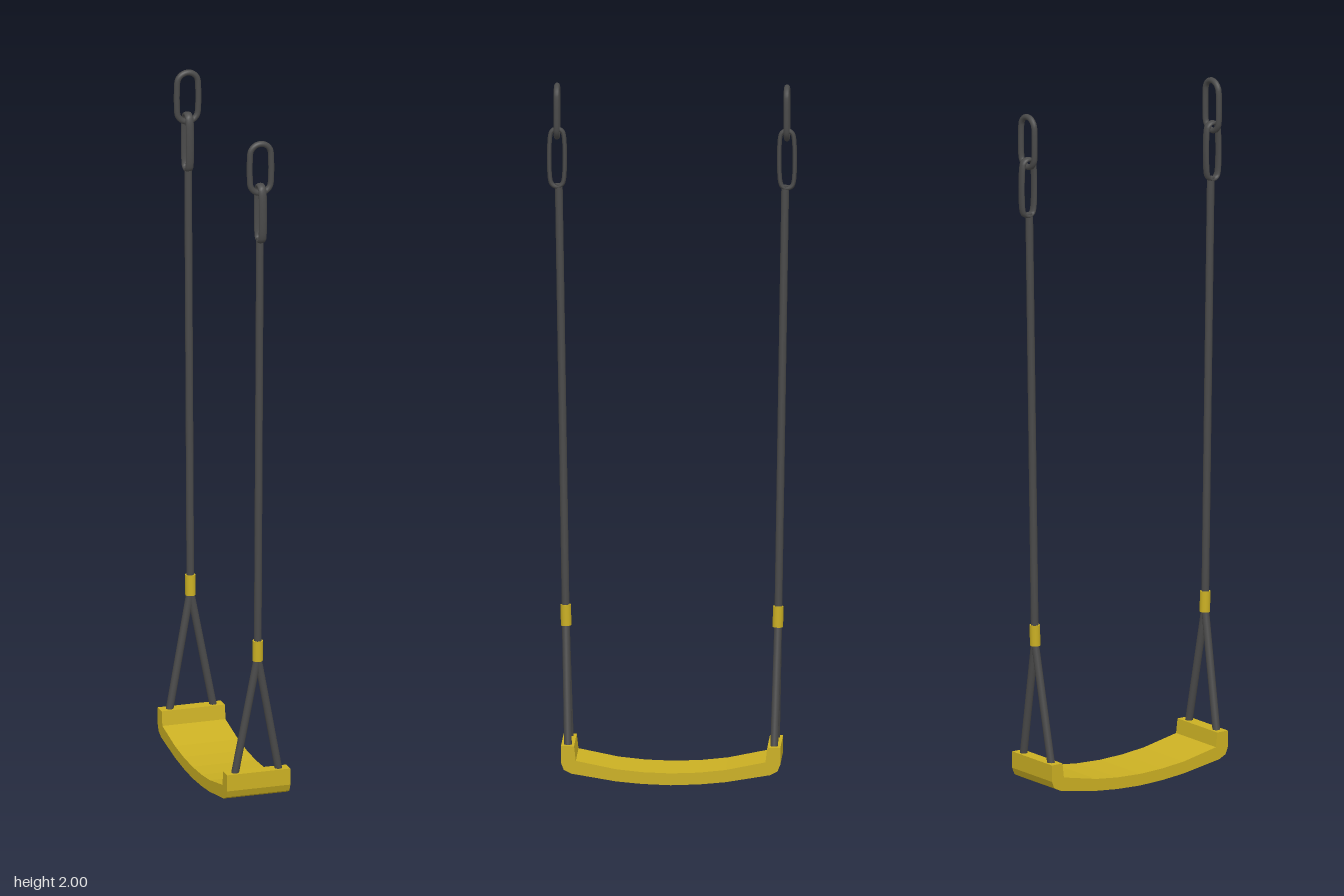
import * as THREE from 'three';

const yellow = new THREE.MeshStandardMaterial({ color: 0xcbb023 });
const grey = new THREE.MeshStandardMaterial({ color: 0x4a4a4a });
const V = (x, y, z) => new THREE.Vector3(x, y, z);

function add(parent, name, geometry, material) {
  const mesh = new THREE.Mesh(geometry, material);
  mesh.name = name;
  parent.add(mesh);
  return mesh;
}

// Round bar running between two points
function rod(parent, name, a, b, radius, material) {
  const dir = b.clone().sub(a);
  const mesh = add(parent, name, new THREE.CylinderGeometry(radius, radius, dir.length(), 12), material);
  mesh.position.copy(a).add(b).multiplyScalar(0.5);
  mesh.quaternion.setFromUnitVectors(V(0, 1, 0), dir.normalize());
  return mesh;
}

// Closed stadium-shaped loop in the xy plane, measured along its bar centre
function loopGeometry(halfWidth, halfHeight, radius, steps) {
  const points = [];
  const straight = halfHeight - halfWidth;
  for (const end of [0, 1]) {
    for (let i = 0; i <= steps; i++) {
      const a = Math.PI * (end + i / steps);
      points.push(V(Math.cos(a) * halfWidth, Math.sin(a) * halfWidth + (end ? -straight : straight), 0));
    }
  }
  return new THREE.TubeGeometry(new THREE.CatmullRomCurve3(points, true), 64, radius, 10, true);
}

// Curved seat: half a profile in (z, y), mirrored and extruded across the width
function seatGeometry() {
  const width = 0.188;
  const upper = [[0, 0.034], [0.08, 0.037], [0.155, 0.045], [0.268, 0.068], [0.273, 0.11]];
  const lower = [[0.31, 0.11], [0.31, 0.062], [0.302, 0.042], [0.28, 0.031], [0.155, 0.01], [0.08, 0.003], [0, 0]];
  const half = [...upper, ...lower];
  const mirrored = half.slice(1, -1).reverse().map(([z, y]) => [-z, y]);
  const shape = new THREE.Shape([...half, ...mirrored].map(([z, y]) => new THREE.Vector2(z, y)));
  const geometry = new THREE.ExtrudeGeometry(shape, { depth: width, bevelEnabled: false });
  geometry.translate(0, 0, -width / 2);
  return geometry.rotateY(Math.PI / 2);
}

// Rope, strap and hanging hardware at one end of the seat
function suspension(s) {
  const group = new THREE.Group();
  group.name = s > 0 ? 'frontSuspension' : 'backSuspension';
  const fork = V(0, 0.45, s * 0.3);

  for (const x of [-1, 1]) {
    rod(group, 'forkRope', V(x * 0.068, 0.09, s * 0.291), fork, 0.011, grey);
  }
  rod(group, 'mainRope', fork, V(0, 1.71, s * 0.32), 0.011, grey);
  rod(group, 'ropeCollar', V(0, 0.44, s * 0.299), V(0, 0.5, s * 0.3005), 0.015, yellow);

  // Flattened lower link, turned side-on to the ring above
  const link = add(group, 'connectingLink', loopGeometry(0.019, 0.083, 0.0065, 4), grey);
  link.scale.z = 1.85;
  link.rotation.y = Math.PI / 2;
  link.position.set(0, 1.785, s * 0.325);

  const ring = add(group, 'hangingRing', loopGeometry(0.031, 0.073, 0.0085, 8), grey);
  ring.position.set(0, 1.9185, s * 0.325);
  return group;
}

export function createModel() {
  const model = new THREE.Group();
  model.name = 'swing';
  add(model, 'seat', seatGeometry(), yellow);
  for (const s of [-1, 1]) model.add(suspension(s));
  for (const part of model.children) part.position.z = -0.002;
  return model;
}
